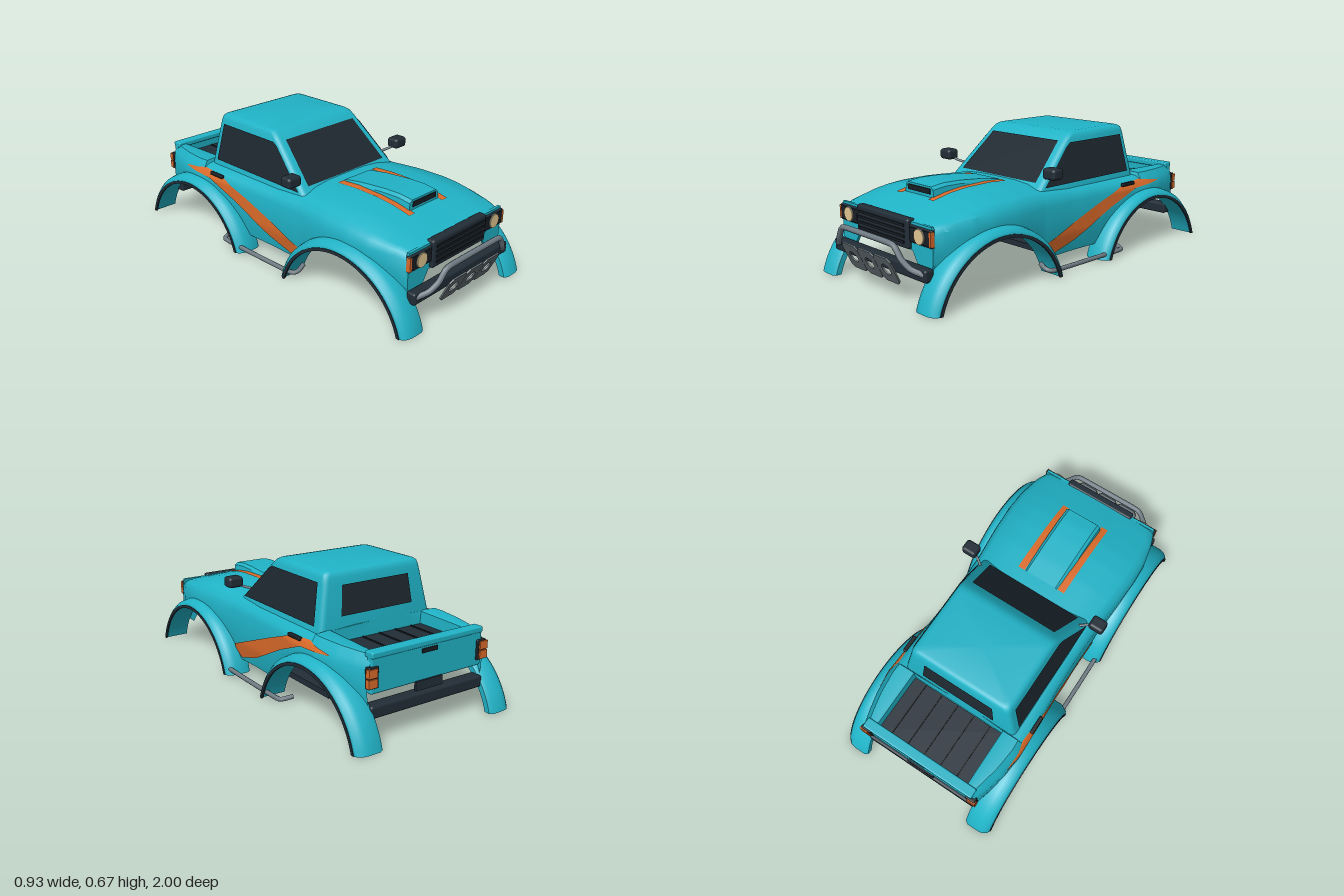
import * as THREE from 'three';
import { toCreasedNormals } from 'three/addons/utils/BufferGeometryUtils.js';
import { RoundedBoxGeometry } from 'three/addons/geometries/RoundedBoxGeometry.js';

const mat = (name, color) => new THREE.MeshStandardMaterial({ name, color, side: THREE.DoubleSide });

// Piecewise linear lookup in [key, value] pairs sorted by rising key
function lookup(table, k) {
  if (k <= table[0][0]) return table[0][1];
  for (let i = 1; i < table.length; i++) {
    const [a, va] = table[i - 1], [b, vb] = table[i];
    if (k <= b) return va + (vb - va) * (k - a) / (b - a || 1);
  }
  return table[table.length - 1][1];
}

// Skin a row of cross-sections
function loft(rings, closed = false, crease = 0.6) {
  const n = rings[0].length, index = [];
  for (let i = 0; i < rings.length - 1; i++) {
    for (let j = 0; j < (closed ? n : n - 1); j++) {
      const a = i * n + j, b = i * n + (j + 1) % n, c = a + n, d = b + n;
      index.push(a, c, b, b, c, d);
    }
  }
  const g = new THREE.BufferGeometry();
  g.setAttribute('position', new THREE.Float32BufferAttribute(rings.flat(2), 3));
  g.setIndex(index);
  return toCreasedNormals(g, crease);
}

// Body outline: half width and centre height along z, wheel arches
const WIDTH = [[-0.9, 0.345], [-0.82, 0.37], [-0.72, 0.395], [-0.6, 0.41], [-0.4, 0.4], [-0.2, 0.385], [0, 0.38],
  [0.2, 0.385], [0.4, 0.405], [0.55, 0.412], [0.67, 0.407], [0.78, 0.385], [0.87, 0.355]];
const TOP = [[-0.9, 0.41], [-0.5, 0.42], [0, 0.43], [0.17, 0.445], [0.35, 0.456], [0.5, 0.453], [0.6, 0.442],
  [0.7, 0.421], [0.8, 0.395], [0.87, 0.375]];
const ARCHES = [0.545, -0.585], ARCH_Y = -0.106;

function bottomY(z) {
  let y = 0.08;
  for (const c of ARCHES) {
    const s = 0.41 ** 2 - (z - c) ** 2;
    if (s > 0) y = Math.max(y, Math.sqrt(s) + ARCH_Y);
  }
  return y;
}

function section(z, bed = false) {
  const w = lookup(WIDTH, z), t = lookup(TOP, z), b = bottomY(z), h = Math.min(0.345, t - 0.045);
  const tuck = 0.12 * Math.max(0, 0.25 - b);
  const side = [[w - tuck, b], [w, b + 0.4 * (h - b)], [w, h], [w * 0.96, h + 0.45 * (t - h)]];
  return bed
    ? [...side, [w * 0.9, t - 0.004], [0.288, t], [0.275, t - 0.006], [0.27, 0.34]]
    : [...side, [w * 0.88, h + 0.7 * (t - h)], [w * 0.6, h + 0.92 * (t - h)], [w * 0.35, t - 0.001], [0.04, t]];
}
const sideX = (z, y) => lookup(section(z).slice(0, 7).map(([x, v]) => [v, x]), y);
const hoodY = (z, x) => lookup(section(z).slice(2).reverse(), x);
const mirrored = (half, z) => [...half.map(([x, y]) => [x, y, z]), ...half.slice().reverse().map(([x, y]) => [-x, y, z])];
const steps = (a, b, n) => Array.from({ length: n + 1 }, (_, i) => a + (b - a) * i / n);

// Sweep an [x, radius] profile over a wheel arch, ends cut level with the ground
function archBand(profile, s, c) {
  const at = (x, r, u) => {
    const a0 = Math.asin(0.113 / r), a = a0 + (Math.PI - 2 * a0) * u;
    return [s * x, r * Math.sin(a) + ARCH_Y, c + r * Math.cos(a)];
  };
  const mid = [0, 1].map(k => profile.reduce((t, p) => t + p[k], 0) / profile.length);
  const cap = u => profile.map(() => at(mid[0], mid[1], u));
  return loft([cap(0), ...steps(0, 1, 44).map(u => profile.map(([x, r]) => at(x, r, u))), cap(1)], true);
}
const FENDER = [[0.325, 0.392], [0.325, 0.42], [0.345, 0.431], [0.41, 0.431], [0.438, 0.425], [0.456, 0.411], [0.463, 0.398], [0.463, 0.392]];
const TRIM = [[0.455, 0.383], [0.455, 0.399], [0.466, 0.399], [0.466, 0.383]];

export function createModel() {
  const root = new THREE.Group();
  root.name = 'truckShell';
  const teal = mat('teal paint', 0x20b3c7), orange = mat('orange stripe', 0xdc6b2a), dark = mat('dark trim', 0x222d37),
    glass = mat('tinted glass', 0x1e282f), steel = mat('grey tube', 0x6f7b84), plate = mat('skid plate grey', 0x646f74),
    lamp = mat('lamp cream', 0xe2c892), black = mat('black plastic', 0x181e23);

  const add = (name, geo, m, x = 0, y = 0, z = 0) => {
    const mesh = new THREE.Mesh(geo, m);
    mesh.name = name;
    mesh.position.set(x, y, z);
    root.add(mesh);
    return mesh;
  };
  const box = (name, m, w, h, d, x, y, z, r = 0) =>
    add(name, r ? new RoundedBoxGeometry(w, h, d, 3, r) : new THREE.BoxGeometry(w, h, d), m, x, y, z);
  const tube = (name, pts, r, m) => add(name, new THREE.TubeGeometry(
    new THREE.CatmullRomCurve3(pts.map(p => new THREE.Vector3(...p)), false, 'catmullrom', 0.3), 48, r, 10), m);
  const poly = pts => new THREE.Shape(pts.map(p => new THREE.Vector2(...p)));
  const extrude = (shape, depth) => new THREE.ExtrudeGeometry(shape, { depth, curveSegments: 40, bevelEnabled: false });

  // Main shell, with the bed sunk in behind the cab
  add('body', loft([
    ...steps(0.87, -0.54, 80).map(z => mirrored(section(z), z)),
    ...steps(-0.545, -0.9, 24).map(z => mirrored(section(z, true), z))]), teal);

  // Nose panel and tailgate
  add('nosePanel', extrude(poly([[-0.358, 0.33], [-0.355, 0.2], [-0.335, 0.13], [-0.3, 0.1], [-0.21, 0.24], [0.21, 0.24],
    [0.3, 0.1], [0.335, 0.13], [0.355, 0.2], [0.358, 0.33], [0.35, 0.372], [-0.35, 0.372]]), 0.015), teal, 0, 0, 0.86);
  box('tailgate', teal, 0.66, 0.19, 0.035, 0, 0.325, -0.89, 0.01);
  box('tailgateRail', teal, 0.66, 0.03, 0.055, 0, 0.408, -0.885, 0.008);
  box('tailgateHandle', black, 0.09, 0.02, 0.01, 0, 0.375, -0.908);

  // Bed floor with ribs
  box('bedFloor', dark, 0.54, 0.01, 0.32, 0, 0.347, -0.71);
  for (const x of [-0.2, -0.1, 0, 0.1, 0.2]) box('bedRib', black, 0.006, 0.008, 0.31, x, 0.354, -0.71);

  // Cab: stacked rounded rectangles [y, half width, front z, back z]
  const ring = ([y, w, f, b]) => {
    const r = Math.min(0.028, w);
    return [[w - r, b + r, -90], [w - r, f - r, 0], [r - w, f - r, 90], [r - w, b + r, 180]]
      .flatMap(([cx, cz, a0]) => steps(a0, a0 + 90, 4).map(a => {
        const t = a * Math.PI / 180;
        return [cx + r * Math.cos(t), y, cz + r * Math.sin(t)];
      }));
  };
  add('cab', loft([[0.4, 0.337, 0.21, -0.54], [0.42, 0.333, 0.19, -0.54], [0.62, 0.295, -0.02, -0.513],
    [0.648, 0.29, -0.05, -0.508], [0.667, 0.284, -0.073, -0.502], [0.677, 0.272, -0.092, -0.492],
    [0.681, 0.255, -0.115, -0.475], [0.682, 0, -0.3, -0.3]].map(ring), true, 0.7), teal);

  // Windows as thin panes laid on the cab faces
  const pane = (name, pts) => {
    const g = new THREE.BufferGeometry().setFromPoints(pts.map(p => new THREE.Vector3(...p)));
    g.setIndex(pts.slice(2).flatMap((_, i) => [0, i + 1, i + 2]));
    g.computeVertexNormals();
    add(name, g, glass);
  };
  const frontZ = y => 0.197 - 1.05 * (y - 0.42), backZ = y => -0.546 + 0.135 * (y - 0.42);
  pane('windshield', [[-0.278, 0.45], [0.278, 0.45], [0.245, 0.637], [-0.245, 0.637]].map(([x, y]) => [x, y, frontZ(y)]));
  pane('rearWindow', [[0.215, 0.47], [-0.215, 0.47], [-0.2, 0.615], [0.2, 0.615]].map(([x, y]) => [x, y, backZ(y)]));

  // Hood scoop
  const scoopTop = [[0.24, 0.455], [0.35, 0.472], [0.5, 0.485], [0.6, 0.487], [0.67, 0.478]];
  const scoopHalf = z => {
    const t = lookup(scoopTop, z);
    return [[0.112, hoodY(z, 0.112) - 0.012], [0.106, t - 0.014], [0.09, t]];
  };
  add('hoodScoop', loft(steps(0.67, 0.24, 16).map(z => mirrored(scoopHalf(z), z))), teal);
  add('scoopFront', extrude(poly(mirrored(scoopHalf(0.67), 0).map(p => [p[0], p[1]])), 0.006), teal, 0, 0, 0.665);
  box('scoopOpening', black, 0.17, 0.026, 0.008, 0, 0.455, 0.672);

  // Grille
  box('grille', dark, 0.41, 0.14, 0.045, 0, 0.314, 0.872, 0.012);
  for (let i = 0; i < 4; i++) box('grilleSlat', black, 0.36, 0.012, 0.008, 0, 0.275 + i * 0.026, 0.896);

  // Bumpers and floor plate
  box('frontBumper', dark, 0.73, 0.06, 0.05, 0, 0.16, 0.9, 0.012);
  box('rearBumper', dark, 0.67, 0.06, 0.065, 0, 0.15, -0.888, 0.012);
  box('rearPlate', dark, 0.16, 0.045, 0.012, 0, 0.215, -0.91);
  box('floorPlate', dark, 0.56, 0.03, 0.64, 0, 0.085, -0.21);

  // Bull bar and three-part skid plate
  const barHalf = [[0.345, 0.165, 0.915], [0.29, 0.185, 0.945], [0.25, 0.225, 0.965], [0.215, 0.275, 0.972], [0.17, 0.288, 0.975]];
  tube('bullBar', [...barHalf, ...barHalf.slice().reverse().map(([x, y, z]) => [-x, y, z])], 0.014, steel);
  const skid = poly([[-0.064, -0.055], [-0.045, -0.075], [0.045, -0.075], [0.064, -0.055],
    [0.064, 0.055], [0.045, 0.075], [-0.045, 0.075], [-0.064, 0.055]]);
  skid.holes.push(new THREE.Path().absarc(0, 0, 0.031, 0, Math.PI * 2, true));
  for (const x of [-0.13, 0, 0.13]) add('skidPlate', extrude(skid, 0.008), plate, x, 0.155, 0.957).rotation.x = 0.45;

  for (const s of [1, -1]) {
    // Fender bands with dark lips
    for (const c of ARCHES) {
      add(c > 0 ? 'frontFender' : 'rearFender', archBand(FENDER, s, c), teal);
      add('fenderTrim', archBand(TRIM, s, c), dark);
    }

    // Side window
    pane('sideWindow', [[0.155, 0.43], [-0.035, 0.612], [-0.065, 0.63], [-0.465, 0.63], [-0.49, 0.43]]
      .map(([z, y]) => [s * (0.339 - 0.19 * (y - 0.42)), y, z]));

    // Painted stripes following the bodywork
    const up = [[-0.69, 0.362], [-0.53, 0.385], [-0.4, 0.378], [-0.18, 0.3], [0.19, 0.163]];
    const low = [[-0.69, 0.358], [-0.48, 0.345], [-0.29, 0.27], [-0.02, 0.14], [0.14, 0.095], [0.19, 0.14]];
    add('sideStripe', loft(steps(0.19, -0.69, 44).map(z => steps(lookup(low, z), lookup(up, z), 5)
      .map(y => [s * (sideX(z, y) + 0.005), y, z]))), orange);
    add('hoodStripe', loft(steps(0.7, 0.24, 23).map(z => steps(0.144, 0.104, 3)
      .map(x => [s * x, hoodY(z, x) + 0.005, z]))), orange);

    // Headlight and marker
    box('headlightHousing', dark, 0.16, 0.082, 0.02, s * 0.28, 0.319, 0.874, 0.006);
    box('headlightFace', black, 0.14, 0.066, 0.006, s * 0.28, 0.319, 0.885);
    add('headlightRing', new THREE.TorusGeometry(0.036, 0.003, 8, 28), steel, s * 0.28, 0.319, 0.887);
    add('headlight', new THREE.CylinderGeometry(0.035, 0.035, 0.012, 28), lamp, s * 0.28, 0.319, 0.888).rotation.x = Math.PI / 2;
    box('frontMarker', orange, 0.012, 0.068, 0.022, s * 0.355, 0.319, 0.878);

    // Tail light, its lenses wrapping the corner
    box('tailLightHousing', black, 0.056, 0.1, 0.03, s * 0.322, 0.31, -0.902, 0.006);
    for (const y of [0.287, 0.333]) box('tailLight', orange, 0.048, 0.04, 0.024, s * 0.33, y, -0.912);

    // Mirror, door handle, side step, rear strut
    box('mirror', dark, 0.084, 0.056, 0.07, s * 0.394, 0.513, 0.165, 0.016);
    tube('mirrorArm', [[s * 0.31, 0.472, 0.125], [s * 0.34, 0.482, 0.145], [s * 0.375, 0.498, 0.163]], 0.007, steel);
    box('doorHandle', black, 0.02, 0.018, 0.1, s * 0.398, 0.375, -0.42, 0.005);
    tube('sideStep', [[s * 0.36, 0.06, 0.21], [s * 0.41, 0.045, 0.22], [s * 0.435, 0.038, 0.17], [s * 0.437, 0.036, -0.29],
      [s * 0.425, 0.036, -0.34], [s * 0.37, 0.045, -0.36]], 0.012, steel);
    tube('strut', [[s * 0.275, 0.09, -0.5], [s * 0.275, 0.2, -0.51], [s * 0.275, 0.34, -0.52]], 0.002, black);
  }
  return root;
}
